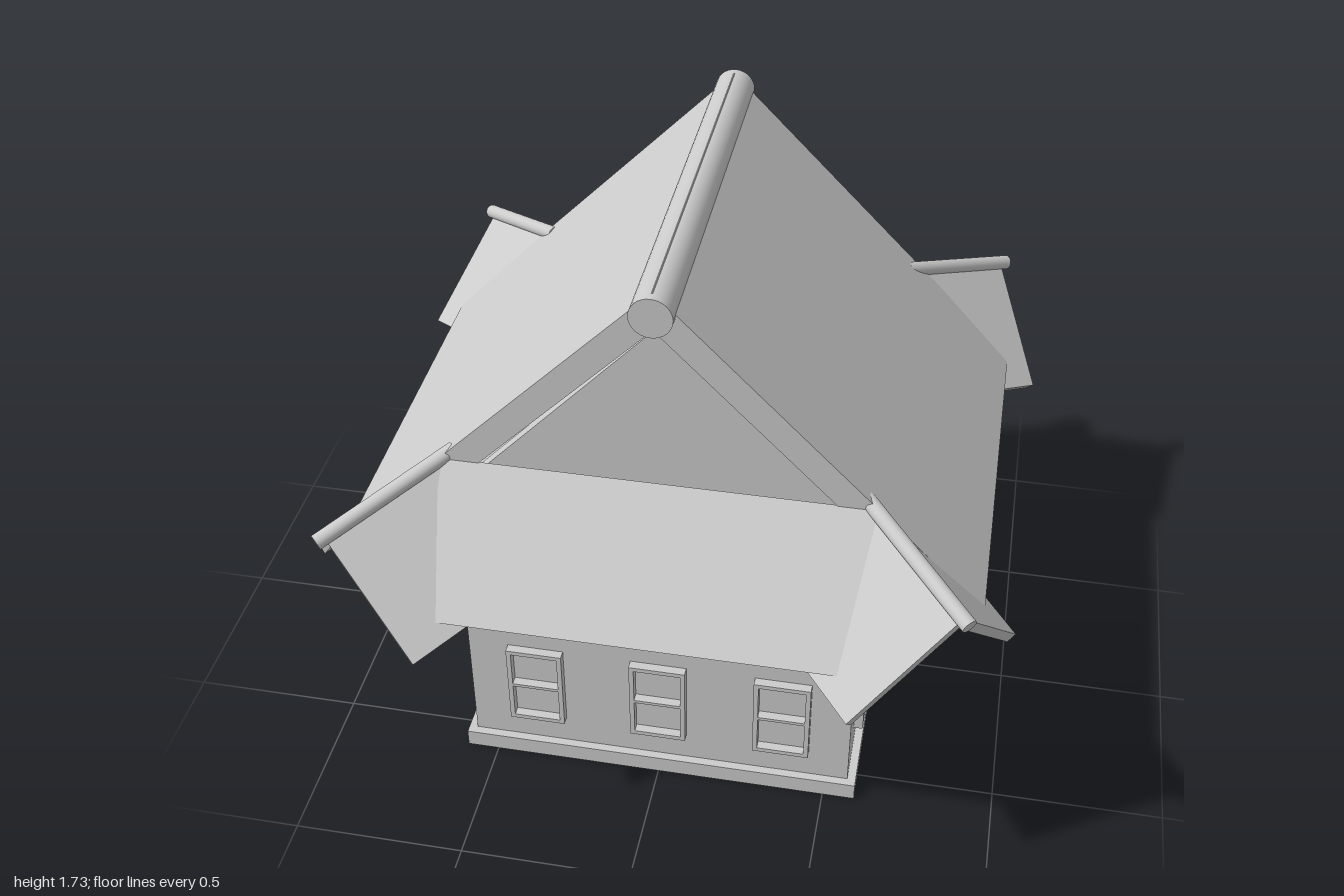
import * as THREE from 'three';

const material = new THREE.MeshStandardMaterial({ color: 0xcccccc });

function add(parent, name, geometry, x = 0, y = 0, z = 0) {
  const mesh = new THREE.Mesh(geometry, material);
  mesh.name = name;
  mesh.position.set(x, y, z);
  parent.add(mesh);
  return mesh;
}

const box = (w, h, d) => new THREE.BoxGeometry(w, h, d);

// Outline extruded along z, from z0 to z0 + depth
function prism(points, depth, z0) {
  const shape = new THREE.Shape(points.map(([x, y]) => new THREE.Vector2(x, y)));
  return new THREE.ExtrudeGeometry(shape, { depth, bevelEnabled: false }).translate(0, 0, z0);
}

// Sloping roof outline: drops h over width w, thickness t, eave cut square
function slope(w, h, t, bothSides) {
  const len = Math.hypot(w, h);
  const eave = [[w, -h], [w - t * h / len, -h - t * w / len]];
  const half = [[0, 0], [0, -t * len / w], ...[...eave].reverse()];
  if (!bothSides) return half;
  const mirrored = eave.map(([x, y]) => [-x, y]);
  return [[0, 0], ...mirrored, half[1], ...[...eave].reverse()];
}

// Round rod along z
const rod = (r, length) =>
  new THREE.CylinderGeometry(r, r, length, 32).rotateX(Math.PI / 2);

function rect(target, x0, y0, x1, y1) {
  target.moveTo(x0, y0);
  target.lineTo(x1, y0);
  target.lineTo(x1, y1);
  target.lineTo(x0, y1);
  target.closePath();
  return target;
}

// Window frame with two panes, back on z = 0
function windowGeometry() {
  const w = 0.083, h = 0.138, f = 0.014;
  const frame = rect(new THREE.Shape(), -w, -h, w, h);
  frame.holes.push(rect(new THREE.Path(), -w + f, -h + f, w - f, -0.005));
  frame.holes.push(rect(new THREE.Path(), -w + f, 0.005, w - f, h - f));
  return new THREE.ExtrudeGeometry(frame, { depth: 0.028, bevelEnabled: false });
}

export function createModel() {
  const model = new THREE.Group();
  model.name = 'house';

  // Walls and bands
  add(model, 'basePlinth', box(1.19, 0.055, 1.19), 0, 0.0275, 0);
  add(model, 'lowerWalls', box(1.14, 0.48, 1.14), 0, 0.29, 0);
  add(model, 'wallBand', box(1.19, 0.055, 1.19), 0, 0.5425, 0);
  add(model, 'upperWalls', box(1.16, 0.41, 1.185), -0.004, 0.775, 0);

  // Three windows on each of four sides
  const windowGeo = windowGeometry();
  for (let side = 0; side < 4; side++) {
    const wall = new THREE.Group();
    wall.name = 'windowRow';
    wall.rotation.y = side * Math.PI / 2;
    model.add(wall);
    for (const x of [-0.368, 0, 0.368]) add(wall, 'window', windowGeo, x, 0.288, 0.569);
  }

  const roof = new THREE.Group();
  roof.name = 'roof';
  roof.position.set(0.005, 0, -0.011);
  model.add(roof);

  // Main pitched roof with its ridge pole
  add(roof, 'mainRoof', prism(slope(0.9, 0.915, 0.08, true), 1.198, -0.599), 0, 1.73, 0);
  add(roof, 'ridgePole', rod(0.058, 1.252), 0, 1.67, 0);

  // Gable walls, and the lean-to roofs below them
  const gable = [[-0.005, 1.595], [-0.6, 0.96], [0.64, 0.96]];
  const skirt = prism(slope(0.305, 0.32, 0.08, false), 1.18, -0.59);
  for (const s of [1, -1]) {
    add(roof, 'gableWall', prism(gable, 0.04, s * 0.55 - 0.02));
    add(roof, 'skirtRoof', skirt, 0, 1.122, s * 0.597).rotation.y = -s * Math.PI / 2;
  }

  // Small tilted gables on the four corners
  const flaps = prism(slope(0.293, 0.293, 0.032, true), 0.42, -0.42);
  for (let i = 0; i < 4; i++) {
    const angle = Math.PI / 4 + i * Math.PI / 2;
    const corner = new THREE.Group();
    corner.name = 'cornerRoof';
    corner.rotation.set(0.29, angle, 0, 'YXZ');
    corner.position.set(1.197 * Math.sin(angle) - 0.003, 1.012, 1.197 * Math.cos(angle) + 0.004);
    roof.add(corner);
    add(corner, 'cornerFlaps', flaps);
    add(corner, 'cornerRidge', rod(0.022, 0.445), 0, 0, -0.197);
  }
  return model;
}
